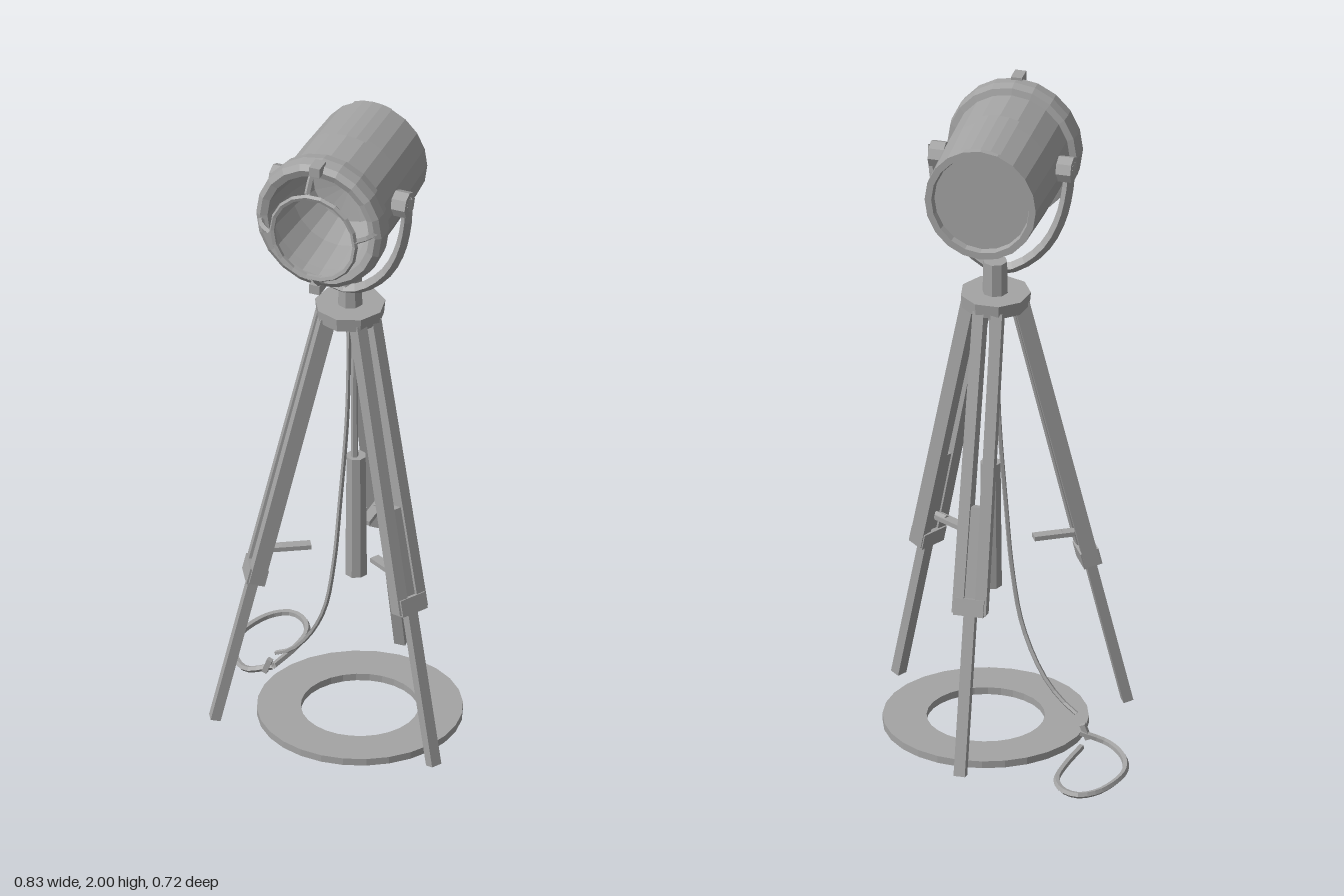
import * as THREE from 'three';

export function createModel() {
  const model = new THREE.Group();
  const grey = new THREE.MeshStandardMaterial({ color: 0xa4a4a4, flatShading: true, side: THREE.DoubleSide });
  grey.name = 'grey metal';

  const V = (x, y, z) => new THREE.Vector3(x, y, z);
  const add = (name, geometry, x = 0, y = 0, z = 0, parent = model) => {
    const mesh = new THREE.Mesh(geometry, grey);
    mesh.name = name;
    mesh.position.set(x, y, z);
    parent.add(mesh);
    return mesh;
  };
  const tube = (name, pts, radius, steps, sides, parent = model) =>
    add(name, new THREE.TubeGeometry(new THREE.CatmullRomCurve3(pts.map(p => V(...p))), steps, radius, sides), 0, 0, 0, parent);
  // Straight square bar from a to b; its width runs along the x axis of the parent
  const bar = (name, a, b, width, depth, parent = model) => {
    const dir = b.clone().sub(a);
    const mesh = add(name, new THREE.BoxGeometry(width, dir.length(), depth), 0, 0, 0, parent);
    mesh.position.copy(a).add(b).multiplyScalar(0.5);
    mesh.quaternion.setFromUnitVectors(V(0, 1, 0), dir.normalize());
    return mesh;
  };

  // Lamp head, turned around the z axis
  const head = new THREE.Group();
  head.name = 'lampHead';
  head.position.set(0.03, 1.785, 0);
  head.scale.x = 0.95;
  model.add(head);
  const turned = (name, pts, segments = 20) =>
    add(name, new THREE.LatheGeometry(pts.map(p => new THREE.Vector2(...p)), segments).rotateX(Math.PI / 2), 0, 0, 0, head);
  turned('housing', [[0, -0.122], [0.15, -0.122], [0.155, -0.14], [0.176, -0.14], [0.183, 0.05], [0.185, 0.24]]);
  turned('frontRim', [[0.183, 0.215], [0.205, 0.22], [0.21, 0.25], [0.207, 0.285], [0.19, 0.297], [0.168, 0.29], [0.165, 0.25]]);
  turned('reflector', [[0.166, 0.26], [0.15, 0.14], [0.12, 0.05], [0, 0.03]]);

  // Raised vent strip on top of the housing
  add('topVent', new THREE.CylinderGeometry(0.188, 0.182, 0.21, 4, 1, true, Math.PI - 0.35, 0.7).rotateX(Math.PI / 2), 0, 0, -0.03, head);
  add('bottomScrew', new THREE.CylinderGeometry(0.018, 0.018, 0.03, 6), 0, -0.185, 0.02, head);

  // Guard ring held in front of the rim by four clips
  add('guardRing', new THREE.TorusGeometry(0.137, 0.009, 5, 18), 0.01, -0.005, 0.348, head);
  for (let i = 0; i < 4; i++) {
    const a = i * Math.PI / 2 + 0.08, c = Math.cos(a), s = Math.sin(a);
    tube('guardClip', [[c * 0.19, s * 0.19, 0.285], [c * 0.175, s * 0.175, 0.318], [c * 0.142, s * 0.142, 0.35]], 0.009, 4, 4, head);
  }
  for (const s of [-1, 1])
    add('rimLatch', new THREE.BoxGeometry(0.035, 0.03, 0.05), 0, s * 0.2, 0.295, head);

  // Yoke and the side knobs
  const yoke = [[-0.172, 1.83], [-0.168, 1.75], [-0.145, 1.64], [-0.1, 1.55], [-0.03, 1.485], [0.035, 1.462]];
  const half = yoke.map(([x, y], i) => [x, y, 0.115 - i * 0.004]);
  const mirrored = half.slice(0, -1).reverse().map(([x, y, z]) => [0.066 - x, y, z]);
  tube('yoke', [...half, ...mirrored], 0.017, 22, 4);
  for (const s of [-1, 1]) {
    add('yokeKnob', new THREE.CylinderGeometry(0.04, 0.04, 0.045, 8).rotateZ(Math.PI / 2), 0.03 + s * 0.192, 1.805, 0.112);
    add('yokeBolt', new THREE.CylinderGeometry(0.022, 0.022, 0.06, 6).rotateZ(Math.PI / 2), 0.03 + s * 0.185, 1.805, 0.112);
  }

  // Tripod hub and neck
  const cx = 0.04, cz = 0.07;
  add('neck', new THREE.CylinderGeometry(0.036, 0.038, 0.11, 8), cx, 1.447, 0.068);
  add('hub', new THREE.CylinderGeometry(0.104, 0.1, 0.042, 9), cx, 1.38, cz);
  add('hubBase', new THREE.CylinderGeometry(0.05, 0.04, 0.04, 8), cx, 1.345, cz);

  // Three legs: each is built leaning along its own +z, then turned into place
  const along = (y, x = 0) => V(x, y, 0.07 + (1.37 - y) * 0.241);
  for (let i = 0; i < 3; i++) {
    const leg = new THREE.Group();
    leg.name = 'leg';
    leg.position.set(cx, 0, cz);
    leg.rotation.y = Math.PI + i * Math.PI * 2 / 3;
    model.add(leg);
    for (const s of [-1, 1])
      bar('legSlat', along(1.37, s * 0.026), along(0.49, s * 0.033), 0.034, 0.046, leg);
    bar('lowerLeg', along(0.8), along(0.015), 0.034, 0.03, leg);
    bar('legCollar', along(0.535), along(0.485), 0.09, 0.056, leg);
    // Clamp lever pointing inwards
    add('clampLever', new THREE.BoxGeometry(0.03, 0.014, 0.12), 0, 0.582, 0.175, leg);
    add('clampScrew', new THREE.CylinderGeometry(0.013, 0.013, 0.05, 6).rotateX(Math.PI / 2), 0, 0.582, 0.225, leg);
  }

  // Centre post hanging between the legs
  add('centrePost', new THREE.CylinderGeometry(0.03, 0.034, 0.4, 8), 0.045, 0.66, 0.035);
  add('centreRod', new THREE.CylinderGeometry(0.009, 0.011, 0.5, 6), 0.042, 1.1, 0.04);

  // Floor ring
  const ring = [[0.172, 0], [0.3, 0], [0.3, 0.022], [0.172, 0.022], [0.172, 0]];
  add('floorRing', new THREE.LatheGeometry(ring.map(p => new THREE.Vector2(...p)), 28), 0.065, 0, 0.055);

  // Power cable falling from the hub, then looping on the floor
  tube('hangingCable', [[0.03, 1.33, 0.05], [0.025, 1.0, 0.055], [0.005, 0.7, 0.062], [-0.012, 0.5, 0.065],
    [-0.045, 0.33, 0.055], [-0.11, 0.2, 0.025], [-0.17, 0.13, 0.008], [-0.225, 0.095, -0.01]], 0.007, 28, 5);
  tube('floorCable', [[-0.24, 0.04, -0.02], [-0.32, 0.015, -0.015], [-0.38, 0.012, -0.075], [-0.41, 0.012, -0.15],
    [-0.41, 0.012, -0.22], [-0.37, 0.012, -0.32], [-0.32, 0.012, -0.355], [-0.27, 0.012, -0.335],
    [-0.235, 0.012, -0.27], [-0.235, 0.012, -0.18], [-0.253, 0.015, -0.06]], 0.01, 34, 5);
  bar('cableSwitch', V(-0.262, 0.02, -0.015), V(-0.245, 0.065, -0.015), 0.016, 0.016);

  return model;
}
